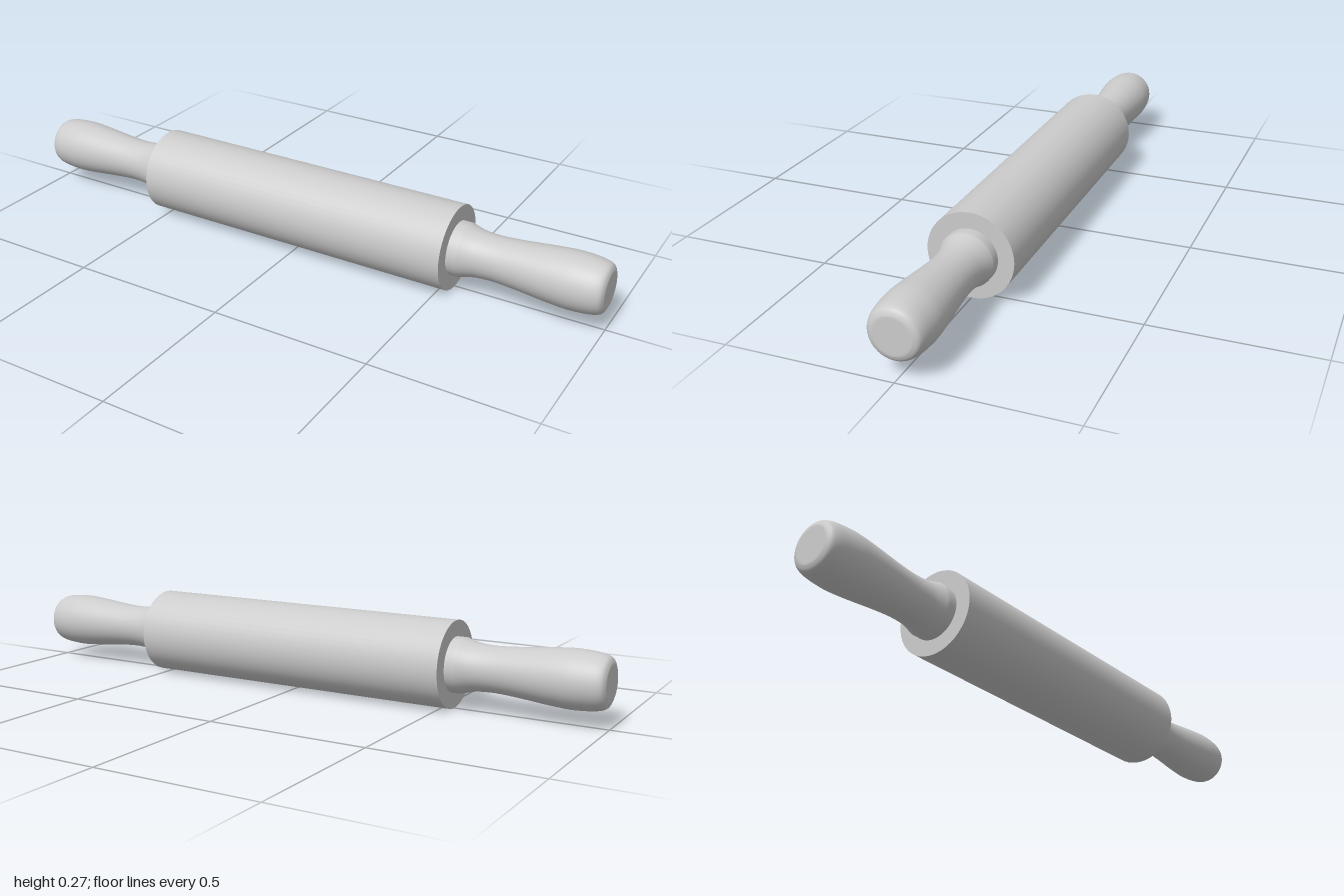
import * as THREE from 'three';

const R = 0.133, HALF = 0.533;

// Handle profile as (radius, distance from the middle of the pin)
function handleGeometry() {
  const v = (r, x) => new THREE.Vector2(r, x);
  const grip = new THREE.SplineCurve([
    v(0.084, 0.562), v(0.077, 0.585), v(0.071, 0.615), v(0.069, 0.665), v(0.073, 0.73),
    v(0.081, 0.81), v(0.086, 0.87), v(0.087, 0.905), v(0.084, 0.95), v(0.079, 0.978),
    v(0.071, 0.993), v(0.056, 1.0),
  ]).getPoints(44);
  const profile = [v(0.084, HALF - 0.01), v(0.084, 0.555), ...grip, v(0.05, 1.0), v(0, 1.0)];
  return new THREE.LatheGeometry(profile, 48).rotateZ(-Math.PI / 2);
}

export function createModel() {
  const group = new THREE.Group();
  const material = new THREE.MeshStandardMaterial({ color: 0xcccccc });

  // Rolling barrel
  const barrel = new THREE.Mesh(
    new THREE.CylinderGeometry(R, R, HALF * 2, 48).rotateZ(Math.PI / 2), material);
  barrel.name = 'barrel';
  barrel.position.y = R;
  group.add(barrel);

  // Turned handles at both ends
  const geometry = handleGeometry();
  for (const [name, turn] of [['leftHandle', 0], ['rightHandle', Math.PI]]) {
    const handle = new THREE.Mesh(geometry, material);
    handle.name = name;
    handle.position.y = R;
    handle.rotation.y = turn;
    group.add(handle);
  }
  return group;
}
